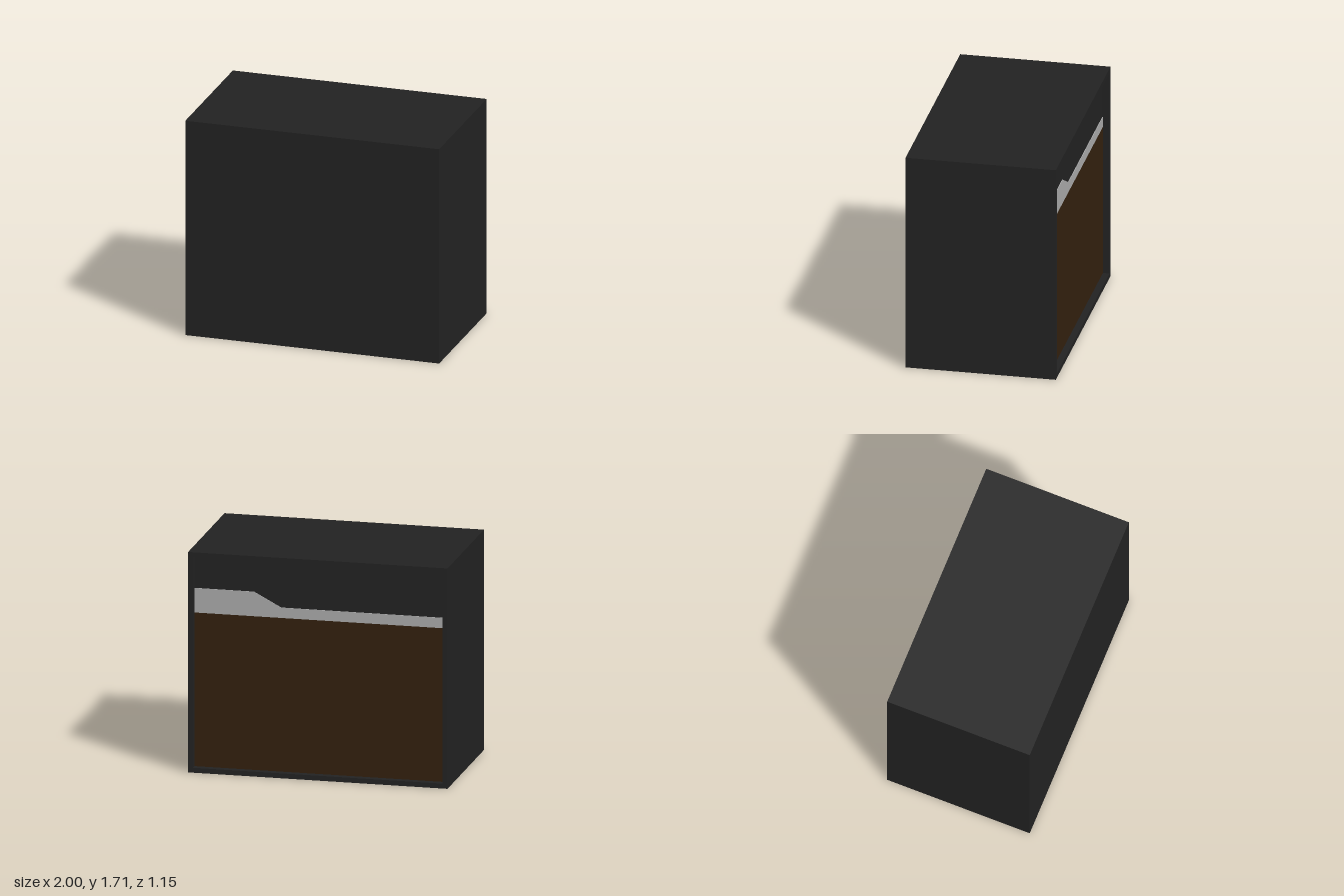
import * as THREE from 'three';

const W = 2, H = 1.71, D = 1.15;   // outer size
const RIM = 0.038;                 // width of the rim around the back opening
const RECESS = 0.055;              // depth of the back opening
const PLATE = 0.005;               // thickness of the painted plates

function polygon(points) {
  return new THREE.Shape(points.map(([x, y]) => new THREE.Vector2(x, y)));
}

// Extrudes a shape in the xy plane from z0 towards +z
function slab(name, shape, z0, depth, material) {
  const geometry = new THREE.ExtrudeGeometry(shape, { depth, bevelEnabled: false });
  geometry.translate(0, 0, z0);
  const mesh = new THREE.Mesh(geometry, material);
  mesh.name = name;
  return mesh;
}

export function createModel() {
  const charcoal = new THREE.MeshStandardMaterial({ color: 0x222222 });
  charcoal.name = 'charcoal';
  const brown = new THREE.MeshStandardMaterial({ color: 0x33200e });
  brown.name = 'dark brown';
  const grey = new THREE.MeshStandardMaterial({ color: 0xaaaaaa });
  grey.name = 'light grey';

  const group = new THREE.Group();
  group.name = 'cabinet';
  const back = -D / 2;
  const panelZ = back + RECESS;
  const inX = W / 2 - RIM, inTop = H - RIM;

  // Closed body, from the front face to the recessed back panel
  const body = new THREE.Mesh(new THREE.BoxGeometry(W, H, D - RECESS), charcoal);
  body.name = 'body';
  body.position.set(0, H / 2, RECESS / 2);
  group.add(body);

  // Rim standing out around the back panel
  const rim = polygon([[-W / 2, 0], [W / 2, 0], [W / 2, H], [-W / 2, H]]);
  rim.holes.push(polygon([[-inX, RIM], [-inX, inTop], [inX, inTop], [inX, RIM]]));
  group.add(slab('backRim', rim, back, RECESS, charcoal));

  // Brown lower panel
  const lower = polygon([[-inX, RIM], [inX, RIM], [inX, 1.23], [-inX, 1.23]]);
  group.add(slab('lowerBackPanel', lower, panelZ - PLATE, PLATE, brown));

  // Grey band that steps up towards the left side
  const band = polygon([
    [-inX, 1.23], [inX, 1.23], [inX, 1.42], [0.505, 1.42], [0.295, 1.31], [-inX, 1.31],
  ]);
  group.add(slab('steppedBand', band, panelZ - PLATE, PLATE, grey));

  return group;
}
